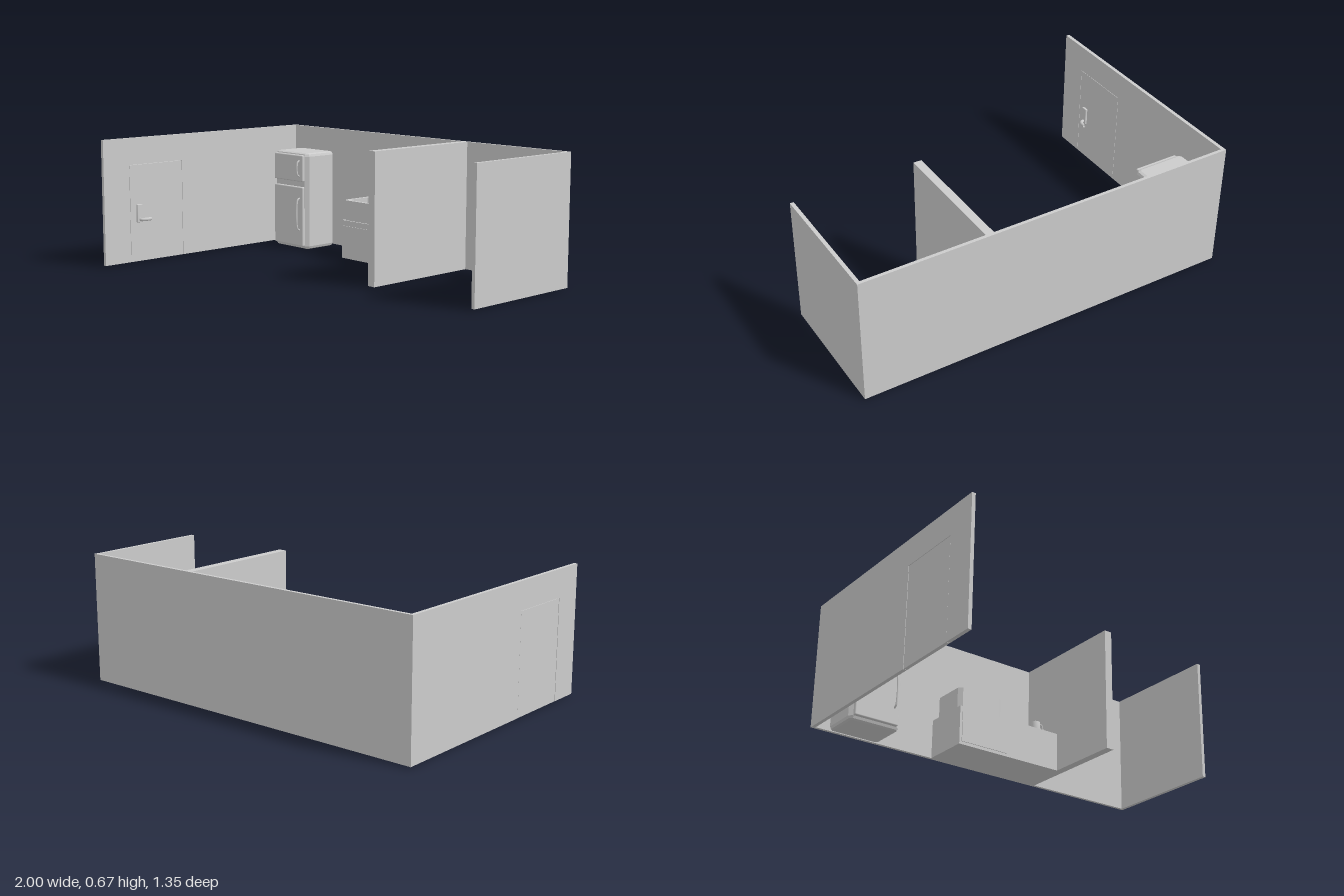
import * as THREE from 'three';
import { RoundedBoxGeometry } from 'three/addons/geometries/RoundedBoxGeometry.js';

const grey = new THREE.MeshStandardMaterial({ color: 0xcccccc });
const greyFlat = new THREE.MeshStandardMaterial({ color: 0xcccccc, flatShading: true });
const greyDouble = new THREE.MeshStandardMaterial({ color: 0xcccccc, side: THREE.DoubleSide });

function add(parent, name, geometry, material = grey) {
  const mesh = new THREE.Mesh(geometry, material);
  mesh.name = name;
  parent.add(mesh);
  return mesh;
}

// Box given by its extents along each axis
function box(parent, name, [x0, x1], [y0, y1], [z0, z1], radius = 0) {
  const s = [x1 - x0, y1 - y0, z1 - z0];
  const geometry = radius
    ? new RoundedBoxGeometry(...s, 2, radius)
    : new THREE.BoxGeometry(...s);
  const mesh = add(parent, name, geometry);
  mesh.position.set((x0 + x1) / 2, (y0 + y1) / 2, (z0 + z1) / 2);
  return mesh;
}

function tube(parent, name, points, radius, segments = 24) {
  const curve = new THREE.CatmullRomCurve3(points.map(p => new THREE.Vector3(...p)));
  return add(parent, name, new THREE.TubeGeometry(curve, segments, radius, 10), greyDouble);
}

function group(parent, name) {
  const g = new THREE.Group();
  g.name = name;
  parent.add(g);
  return g;
}

// Rectangle with cut corners, drawn in x and -z
function cutRect(Type, [x0, x1], [z0, z1], c) {
  return new Type([
    [x0 + c, -z1], [x1 - c, -z1], [x1, -z1 + c], [x1, -z0 - c],
    [x1 - c, -z0], [x0 + c, -z0], [x0, -z0 - c], [x0, -z1 + c],
  ].map(p => new THREE.Vector2(...p)));
}

// Upright prism from a floor-plan shape
function prism(parent, name, shape, y0, y1) {
  const geometry = new THREE.ExtrudeGeometry(shape, { depth: y1 - y0, bevelEnabled: false });
  geometry.rotateX(-Math.PI / 2).translate(0, y0, 0);
  return add(parent, name, geometry, greyFlat);
}

function buildWalls(root) {
  const g = group(root, 'walls');
  const y = [0.006, 0.673];
  box(g, 'backWall', [-1, 1], y, [-0.678, -0.661]);
  box(g, 'rightRoomWall', [0.981, 1], y, [-0.661, 0.006]);
  box(g, 'partitionWall', [0.312, 0.355], y, [-0.661, 0.006]);

  // Side wall with a doorway notch, drawn in z and y
  const outline = [[-0.661, y[0]], [0.17, y[0]], [0.17, 0.53], [0.515, 0.53],
    [0.515, y[0]], [0.675, y[0]], [0.675, y[1]], [-0.661, y[1]]];
  const shape = new THREE.Shape(outline.map(([z, h]) => new THREE.Vector2(-z, h)));
  const geometry = new THREE.ExtrudeGeometry(shape, { depth: 0.019, bevelEnabled: false });
  geometry.rotateY(Math.PI / 2).translate(-1, 0, 0);
  add(g, 'doorWall', geometry);
}

function buildDoor(root) {
  const g = group(root, 'door');
  box(g, 'doorLeaf', [-0.999, -0.981], [0.006, 0.528], [0.172, 0.513]);
  box(g, 'handlePlate', [-0.983, -0.969], [0.218, 0.316], [0.44, 0.476], 0.004);
  tube(g, 'doorLever', [[-0.972, 0.234, 0.458], [-0.957, 0.234, 0.455],
    [-0.945, 0.235, 0.437], [-0.942, 0.236, 0.408]], 0.009);
}

function buildFridge(root) {
  const g = group(root, 'fridge');
  // Cabinet with bevelled edges all round
  const plan = cutRect(THREE.Shape, [-0.899, -0.656], [-0.637, -0.459], 0.008);
  const body = new THREE.ExtrudeGeometry(plan, {
    depth: 0.51, bevelEnabled: true, bevelThickness: 0.018, bevelSize: 0.018, bevelSegments: 2,
  });
  body.rotateX(-Math.PI / 2).translate(0, 0.018, 0);
  add(g, 'fridgeBody', body, greyFlat);

  const doors = [
    ['freezerDoor', 0.386, 0.535, 0.415, 0.505],
    ['fridgeDoor', 0.018, 0.355, 0.108, 0.292],
  ];
  for (const [name, y0, y1, h0, h1] of doors) {
    box(g, name, [-0.899, -0.657], [y0, y1], [-0.46, -0.424], 0.006);
    tube(g, name + 'Handle', [[-0.684, h0, -0.427], [-0.684, h0 + 0.01, -0.411],
      [-0.684, h1 - 0.01, -0.411], [-0.684, h1, -0.427]], 0.005);
  }
}

function buildCounter(root) {
  const g = group(root, 'counter');
  box(g, 'counterCabinet', [-0.311, 0.312], [0.006, 0.215], [-0.661, -0.405]);
  box(g, 'cabinetDoor', [-0.297, -0.022], [0.022, 0.185], [-0.406, -0.401]);

  // Sink: cut-corner shell with a thick rim and an inner floor
  const x = [-0.311, -0.042], z = [-0.623, -0.414];
  const inset = d => [[x[0] + d, x[1] - d], [z[0] + d, z[1] - d]];
  const shell = cutRect(THREE.Shape, x, z, 0.02);
  shell.holes.push(cutRect(THREE.Path, ...inset(0.02), 0.025));
  prism(g, 'sinkShell', shell, 0.215, 0.324);
  prism(g, 'sinkFloor', cutRect(THREE.Shape, ...inset(0.015), 0.022), 0.216, 0.24);
  add(g, 'sinkDrain', new THREE.CylinderGeometry(0.012, 0.012, 0.003, 16))
    .position.set(-0.176, 0.241, -0.518);

  // Faucet: stem behind the basin and a spout arching over it
  add(g, 'faucetBase', new THREE.CylinderGeometry(0.013, 0.013, 0.14, 16))
    .position.set(-0.178, 0.285, -0.638);
  tube(g, 'faucetSpout', [[-0.178, 0.34, -0.638], [-0.178, 0.363, -0.633],
    [-0.178, 0.375, -0.612], [-0.178, 0.366, -0.592], [-0.178, 0.345, -0.588]], 0.011);
  add(g, 'faucetNozzle', new THREE.CylinderGeometry(0.012, 0.012, 0.015, 16))
    .position.set(-0.178, 0.34, -0.588);
}

function buildJug(root) {
  const g = group(root, 'jug');
  g.position.set(0.251, 0.215, -0.515);
  const profile = [[0, 0], [0.029, 0], [0.029, 0.012], [0.026, 0.05], [0.023, 0.088],
    [0.019, 0.088], [0.022, 0.05], [0.024, 0.008], [0, 0.008]];
  add(g, 'jugBody', new THREE.LatheGeometry(
    profile.map(p => new THREE.Vector2(...p)), 24), greyDouble);
  tube(g, 'jugHandle', [[0.023, 0.078, 0], [0.04, 0.079, 0], [0.047, 0.065, 0],
    [0.046, 0.035, 0], [0.037, 0.02, 0], [0.026, 0.018, 0]], 0.004);
}

export function createModel() {
  const root = new THREE.Group();
  root.name = 'roomWithKitchen';
  buildWalls(root);
  buildDoor(root);
  buildFridge(root);
  buildCounter(root);
  buildJug(root);
  return root;
}
